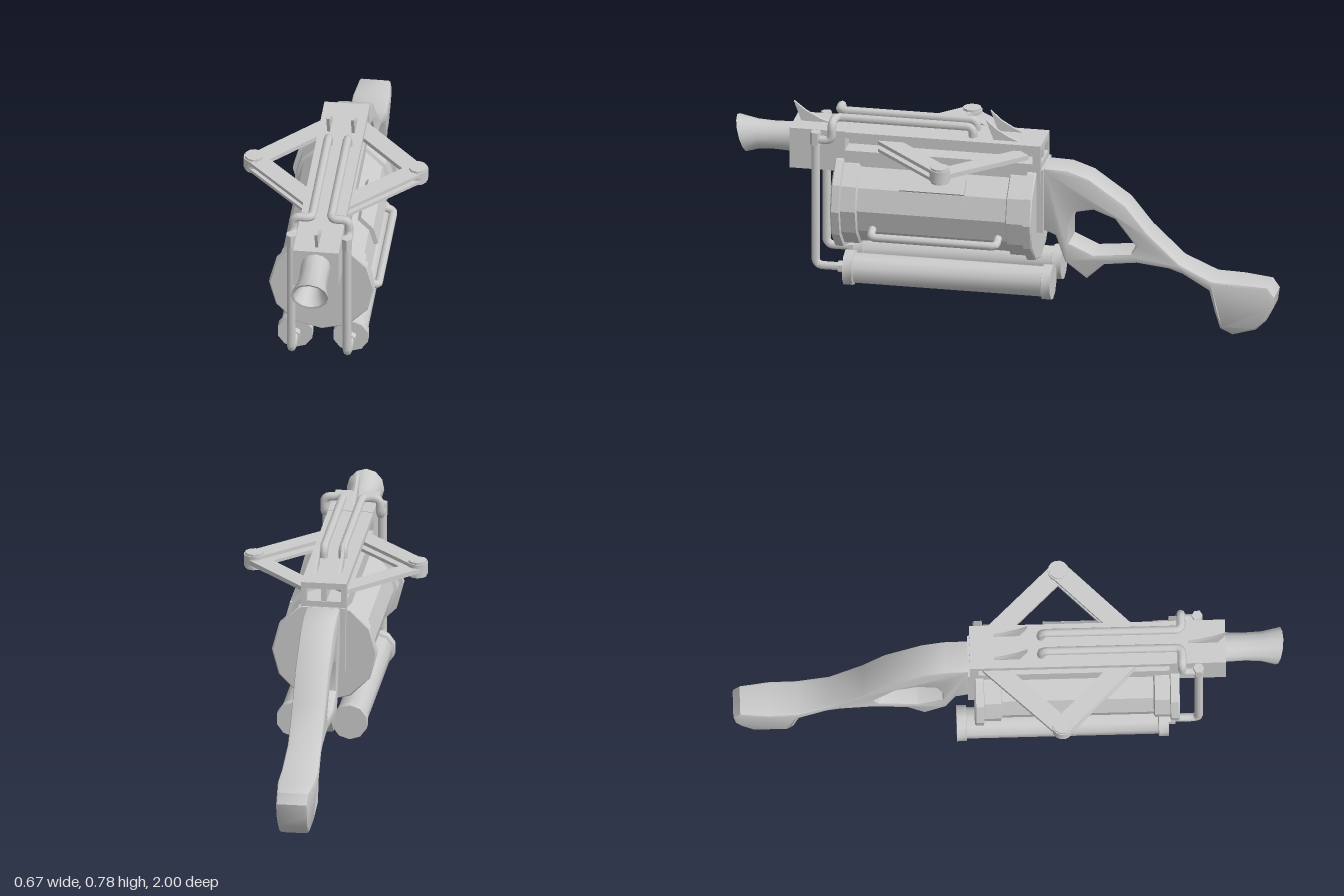
import * as THREE from 'three';
import { toCreasedNormals } from 'three/addons/utils/BufferGeometryUtils.js';

const mat = new THREE.MeshStandardMaterial({ color: 0xcccccc, side: THREE.DoubleSide });

export function createModel() {
  const root = new THREE.Group();

  const add = (name, geo, crease = 0.5) => {
    const m = new THREE.Mesh(toCreasedNormals(geo, crease), mat);
    m.name = name;
    root.add(m);
    return m;
  };
  // box given by its limits
  const box = (name, x0, x1, y0, y1, z0, z1) =>
    add(name, new THREE.BoxGeometry(x1 - x0, y1 - y0, z1 - z0)
      .translate((x0 + x1) / 2, (y0 + y1) / 2, (z0 + z1) / 2));
  // turned profile of [radius, z] pairs around a line parallel to z
  const turned = (pts, sides, x, y) =>
    new THREE.LatheGeometry(pts.map(p => new THREE.Vector2(p[0], p[1])), sides)
      .rotateX(Math.PI / 2).translate(x, y, 0);
  // side silhouette of [z, y] pairs given a width along x
  const side = (pts, width, x = 0, hole = null, bevel = 0) => {
    const v = a => a.map(p => new THREE.Vector2(p[0], p[1]));
    const shape = new THREE.Shape(v(pts));
    if (hole) shape.holes.push(new THREE.Path(v(hole)));
    const depth = width - 2 * bevel;
    return new THREE.ExtrudeGeometry(shape, {
      depth, bevelEnabled: bevel > 0, bevelThickness: bevel, bevelSize: bevel,
      bevelOffset: -bevel, bevelSegments: 2, curveSegments: 4
    }).translate(0, 0, -depth / 2).rotateY(-Math.PI / 2).translate(x, 0, 0);
  };
  // pipe along straight runs with rounded corners
  const pipe = (name, pts, r, bend = 0.03) => {
    const p = pts.map(a => new THREE.Vector3(...a));
    const path = new THREE.CurvePath();
    let from = p[0];
    for (let i = 1; i < p.length - 1; i++) {
      const a = p[i].clone().add(p[i - 1].clone().sub(p[i]).setLength(bend));
      const b = p[i].clone().add(p[i + 1].clone().sub(p[i]).setLength(bend));
      path.add(new THREE.LineCurve3(from, a));
      path.add(new THREE.QuadraticBezierCurve3(a, p[i], b));
      from = b;
    }
    path.add(new THREE.LineCurve3(from, p[p.length - 1]));
    return add(name, new THREE.TubeGeometry(path, 120, r, 8), 0.9);
  };

  // Drum with end rims and stepped collars
  add('drum', turned([[0, -0.125], [0.188, -0.125], [0.193, -0.12], [0.193, -0.092], [0.178, -0.09],
    [0.178, -0.03], [0.166, -0.025], [0.166, 0.525], [0.178, 0.53], [0.178, 0.585],
    [0.193, 0.588], [0.193, 0.615], [0.188, 0.62], [0, 0.62]], 12, 0, 0.43));

  // Receiver: front block, roof, floor, centre wall and end posts leaving side slots
  box('receiverFront', -0.083, 0.083, 0.55, 0.705, 0.585, 0.79);
  box('receiverRoof', -0.083, 0.083, 0.68, 0.703, -0.14, 0.6);
  box('receiverFloor', -0.083, 0.083, 0.55, 0.632, -0.14, 0.6);
  box('receiverWall', -0.01, 0.01, 0.62, 0.69, -0.135, 0.6);
  box('rearPlate', -0.08, 0.08, 0.365, 0.61, -0.148, -0.12);

  // Flared muzzle with a slanted mouth
  const horn = turned([[0.055, 0.78], [0.052, 0.86], [0.055, 0.92], [0.069, 0.98],
    [0.06, 0.978], [0.045, 0.93], [0.031, 0.86], [0, 0.86]], 12, 0, 0.64);
  const hp = horn.attributes.position;
  for (let i = 0; i < hp.count; i++) {
    const t = Math.max(0, (hp.getZ(i) - 0.88) / 0.1);
    hp.setZ(i, hp.getZ(i) + (hp.getY(i) - 0.64) * 0.3 * t);
  }
  add('muzzle', horn, 0.6);

  // Sight fins: one in front, two at the back
  const fin = (name, x, z, len) =>
    add(name, side([[z, 0.78], [z - 0.03, 0.7], [z - len, 0.7], [z - len * 0.65, 0.718],
      [z - len * 0.3, 0.745]], 0.011, x));
  fin('frontFin', 0, 0.79, 0.15);

  for (const s of [1, -1]) {
    fin('rearFin', s * 0.045, 0.07, 0.13);
    box('receiverPost', s * 0.073 - 0.01, s * 0.073 + 0.01, 0.62, 0.69, -0.14, -0.11);

    // Gas bottle with end caps
    add('bottle', turned([[0, -0.19], [0.066, -0.19], [0.066, -0.155], [0.057, -0.153],
      [0.057, 0.542], [0.066, 0.545], [0.066, 0.58], [0, 0.58]], 10, s * 0.102, 0.185), 0.7);
    add('bottleNut', new THREE.CylinderGeometry(0.023, 0.023, 0.03, 6)
      .rotateX(Math.PI / 2).translate(s * 0.102, 0.185, 0.59));

    // Feed pipe, valve and top pipe
    pipe('feedPipe', [[s * 0.102, 0.185, 0.57], [s * 0.102, 0.185, 0.69], [s * 0.102, 0.68, 0.69]], 0.016);
    add('valve', new THREE.CylinderGeometry(0.02, 0.02, 0.05, 6).translate(s * 0.102, 0.68, 0.69));
    pipe('topPipe', [[s * 0.102, 0.675, 0.69], [s * 0.102, 0.675, 0.63], [s * 0.102, 0.741, 0.63],
      [s * 0.035, 0.741, 0.63], [s * 0.035, 0.741, 0.12], [s * 0.035, 0.69, 0.12]], 0.016, 0.025);

    // Folding arms: double plates forward, a single plate rearward
    const arm = (name, z, y0, y1) => {
      const dx = s * -0.25, dz = z - 0.19;
      const g = new THREE.BoxGeometry(Math.hypot(dx, dz), y1 - y0, 0.07)
        .rotateY(Math.atan2(-dz, dx)).translate(s * 0.175, (y0 + y1) / 2, (z + 0.19) / 2);
      add(name, g);
    };
    arm('frontArmLower', 0.44, 0.633, 0.645);
    arm('frontArmUpper', 0.44, 0.662, 0.675);
    arm('rearArm', -0.07, 0.645, 0.662);
    add('armPivot', new THREE.CylinderGeometry(0.038, 0.038, 0.043, 14).translate(s * 0.3, 0.654, 0.19));
    add('pivotBolt', new THREE.CylinderGeometry(0.034, 0.034, 0.06, 10).translate(s * 0.3, 0.653, 0.19));
  }

  // Cover plates and grab rail on the left flank of the drum
  for (const [at, tilt] of [[19, 15], [40, 45]]) {
    const a = THREE.MathUtils.degToRad(at), t = THREE.MathUtils.degToRad(tilt);
    add('coverPlate', new THREE.BoxGeometry(0.024, 0.064, 0.24).rotateZ(t)
      .translate(Math.cos(a) * 0.166, 0.43 + Math.sin(a) * 0.166, 0.25));
  }
  pipe('grabRail', [[0.13, 0.365, 0.47], [0.189, 0.342, 0.47], [0.189, 0.342, 0.005],
    [0.13, 0.365, 0.005]], 0.015, 0.02);

  // Stock with a thumb hole and a rounded butt
  const stock = side([[-0.14, 0.61], [-0.235, 0.607], [-0.315, 0.58], [-0.45, 0.485], [-0.53, 0.385],
    [-0.65, 0.272], [-0.77, 0.217], [-0.87, 0.214], [-0.975, 0.206], [-1, 0.17], [-0.993, 0.12],
    [-0.97, 0.075], [-0.93, 0.035], [-0.84, 0.003], [-0.797, 0.03], [-0.78, 0.1], [-0.76, 0.18],
    [-0.66, 0.235], [-0.61, 0.252], [-0.49, 0.265], [-0.37, 0.25], [-0.305, 0.19], [-0.225, 0.25],
    [-0.19, 0.35], [-0.14, 0.37]], 0.136, 0,
  [[-0.26, 0.445], [-0.33, 0.46], [-0.41, 0.43], [-0.487, 0.33], [-0.47, 0.3], [-0.33, 0.285],
    [-0.24, 0.325], [-0.24, 0.39]], 0.01);
  const sp = stock.attributes.position;
  for (let i = 0; i < sp.count; i++) {
    const y = sp.getY(i), z = sp.getZ(i);
    let k = z > -0.75 ? 0.91 : 1;
    if (z < -0.75 && y < 0.09) k = 0.4 + 0.6 * Math.sqrt(Math.max(0, y) / 0.09);
    if (z < -0.95) k *= 0.85;
    sp.setX(i, sp.getX(i) * k);
  }
  add('stock', stock, 0.6);

  return root;
}
